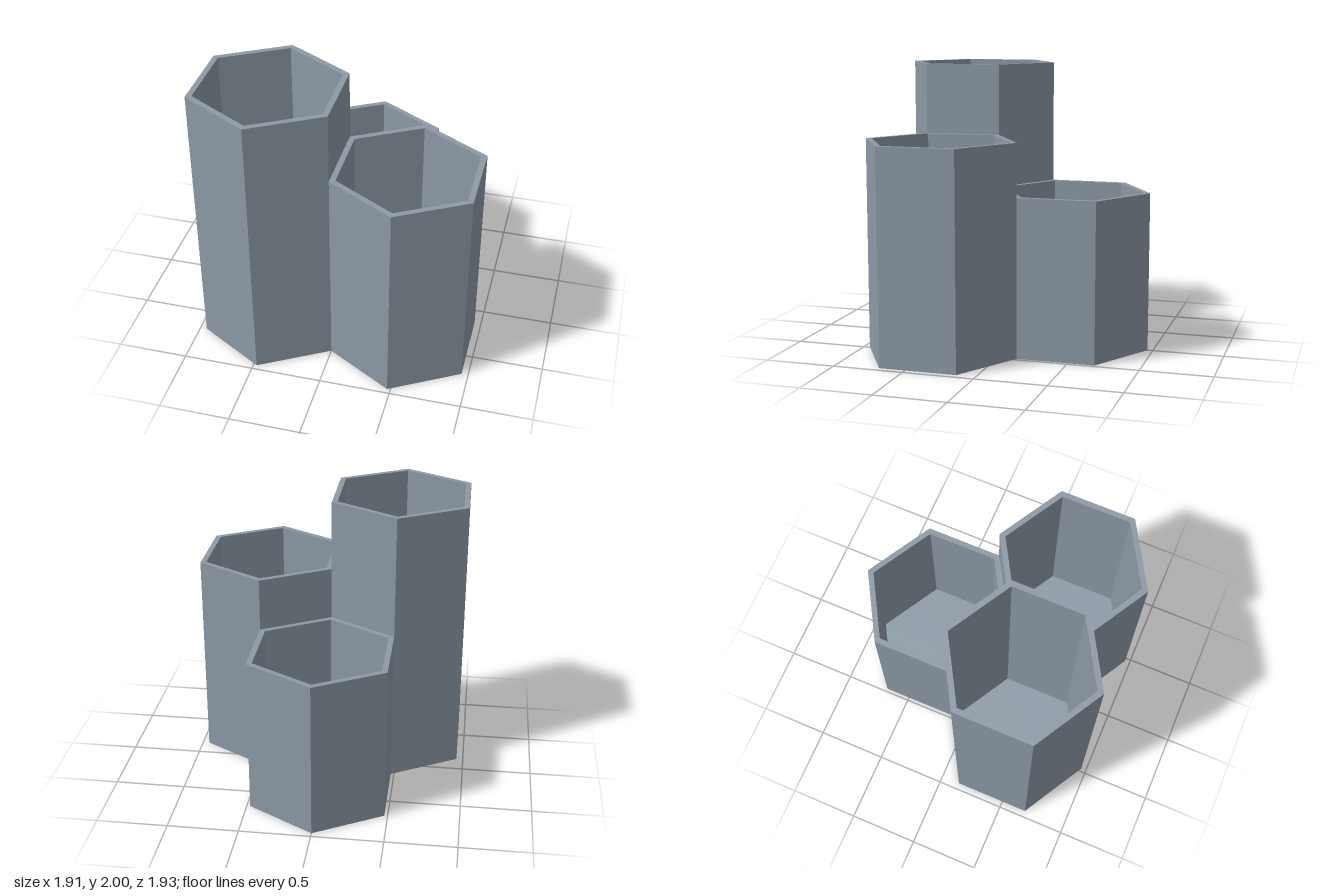
import * as THREE from 'three';

const R = 0.55;               // outer corner radius of each hexagon
const INNER = 0.505;          // inner corner radius
const FLOOR = 0.04;           // floor thickness
const APOTHEM = R * Math.sqrt(3) / 2;

// Open hexagonal cup: a six-sided lathe with a corner pointing along z
function hexCup(name, x, z, height, material) {
  const profile = [
    [0, 0], [R, 0], [R, height], [INNER, height], [INNER, FLOOR], [0, FLOOR],
  ].map(([r, y]) => new THREE.Vector2(r, y));
  const cup = new THREE.Mesh(new THREE.LatheGeometry(profile, 6), material);
  cup.name = name;
  cup.position.set(x, 0, z);
  return cup;
}

export function createModel() {
  const group = new THREE.Group();
  group.name = 'hexagonalPenHolder';
  const grey = new THREE.MeshStandardMaterial({ color: 0x8c99a5 });
  grey.name = 'blueGrey';
  grey.flatShading = true;

  // Three cups sharing walls, in stepped heights
  group.add(
    hexCup('tallCup', -APOTHEM, 0.75 * R, 2, grey),
    hexCup('middleCup', APOTHEM, 0.75 * R, 1.5, grey),
    hexCup('shortCup', 0, -0.75 * R, 1.125, grey),
  );
  return group;
}
